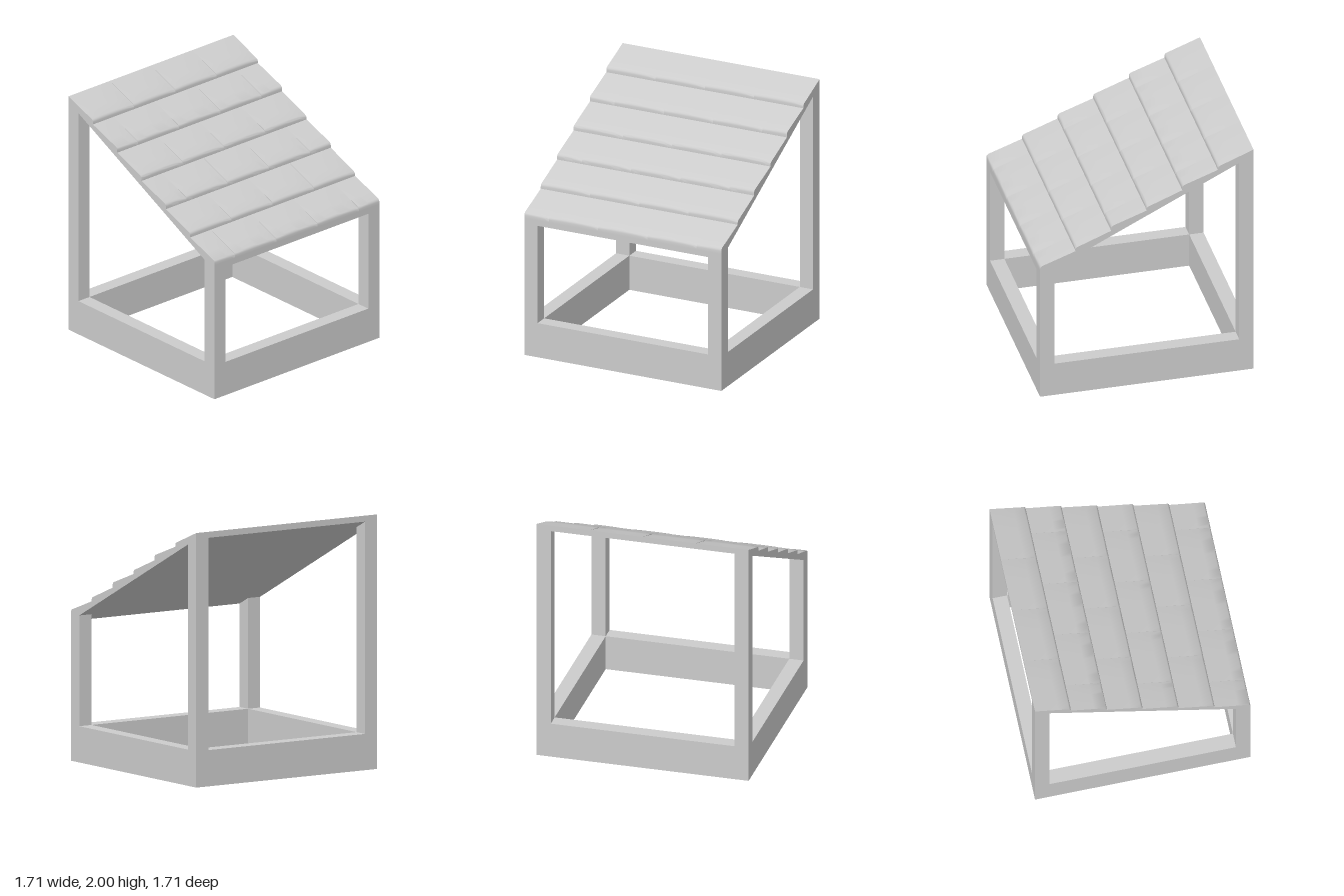
import * as THREE from 'three';
import { toCreasedNormals } from 'three/addons/utils/BufferGeometryUtils.js';

const HALF = 0.855, POST = 0.115, SILL = 0.285;
const ROWS = 6, RUN = (2 * HALF) / ROWS, TILE = HALF / 2, LIP = 0.04;
const INNER = HALF - POST;
const under = (z) => 1.0975 + (HALF - z) * 0.5; // underside of the roof slab
const deck = (z) => 1.145 + (HALF - z) * 0.5;   // top of the roof slab

const material = new THREE.MeshStandardMaterial({ color: 0xcccccc, side: THREE.DoubleSide });

function add(group, name, geometry) {
  const mesh = new THREE.Mesh(geometry, material);
  mesh.name = name;
  group.add(mesh);
  return mesh;
}

// Extrude a (z, y) outline along x, ending at x = right
function extrudeX(points, width, right) {
  const shape = new THREE.Shape(points.map(([z, y]) => new THREE.Vector2(z, y)));
  const geometry = new THREE.ExtrudeGeometry(shape, { depth: width, bevelEnabled: false });
  return geometry.rotateY(-Math.PI / 2).translate(right, 0, 0);
}

// Tile section: [distance back from the front edge, height above the slab]
const section = [
  [0, 0], [0, 0.022], [0.002, 0.030], [0.006, 0.035], [0.014, 0.0385],
  [RUN * 0.35, LIP * 0.65], [RUN * 0.7, LIP * 0.3], [RUN, 0],
];

// Each tile sags a little towards its side edges, more on its +x side
const sag = (u) => 0.011 * u ** 5 + 0.005 * (1 - u) ** 8;

// One roof tile lofted along x from x0 to x1; start is the x of the uncut tile
function tileGeometry(start, x0, x1, zFront) {
  const steps = 12, n = section.length, positions = [], index = [];
  for (let i = 0; i <= steps; i++) {
    const x = x0 + ((x1 - x0) * i) / steps;
    const scale = 1 - sag((x - start) / TILE) / LIP;
    for (const [back, h] of section) {
      const z = zFront - back;
      positions.push(x, deck(z) + h * scale, z);
    }
  }
  for (let i = 0; i < steps; i++) {
    for (let j = 0; j < n - 1; j++) {
      const a = i * n + j, b = a + 1, c = a + n, d = c + 1;
      index.push(a, c, b, c, d, b);
    }
  }
  // end caps
  const last = steps * n;
  for (let j = 1; j < n - 1; j++) {
    index.push(0, j, j + 1, last, last + j + 1, last + j);
  }
  const geometry = new THREE.BufferGeometry();
  geometry.setAttribute('position', new THREE.Float32BufferAttribute(positions, 3));
  geometry.setIndex(index);
  return toCreasedNormals(geometry, Math.PI / 4);
}

export function createModel() {
  const model = new THREE.Group();
  model.name = 'tiledRoofFrame';

  // Side frames: low wall with a short front post and a tall back post
  const outline = [
    [HALF, 0], [HALF, under(HALF)], [INNER, under(INNER)], [INNER, SILL],
    [-INNER, SILL], [-INNER, under(-INNER)], [-HALF, under(-HALF)], [-HALF, 0],
  ];
  add(model, 'leftSideFrame', extrudeX(outline, POST, HALF));
  add(model, 'rightSideFrame', extrudeX(outline, POST, -INNER));

  // Low walls joining the side frames
  for (const [name, side] of [['frontWall', 1], ['backWall', -1]]) {
    add(model, name, new THREE.BoxGeometry(2 * INNER, SILL, POST))
      .position.set(0, SILL / 2, side * (HALF - POST / 2));
  }

  // Sloping roof slab
  add(model, 'roofSlab', extrudeX([
    [HALF, under(HALF)], [HALF, deck(HALF)], [-HALF, deck(-HALF)], [-HALF, under(-HALF)],
  ], 2 * HALF, HALF));

  // Overlapping rows of tiles, every other row shifted by half a tile
  const tiles = new THREE.Group();
  tiles.name = 'roofTiles';
  model.add(tiles);
  for (let row = 0; row < ROWS; row++) {
    const shift = row % 2 === 0 ? TILE / 2 : 0;
    const count = shift ? 5 : 4;
    for (let i = 0; i < count; i++) {
      const start = -HALF - shift + i * TILE;
      const x0 = Math.max(start, -HALF), x1 = Math.min(start + TILE, HALF);
      add(tiles, 'roofTile', tileGeometry(start, x0, x1, HALF - row * RUN));
    }
  }
  return model;
}
